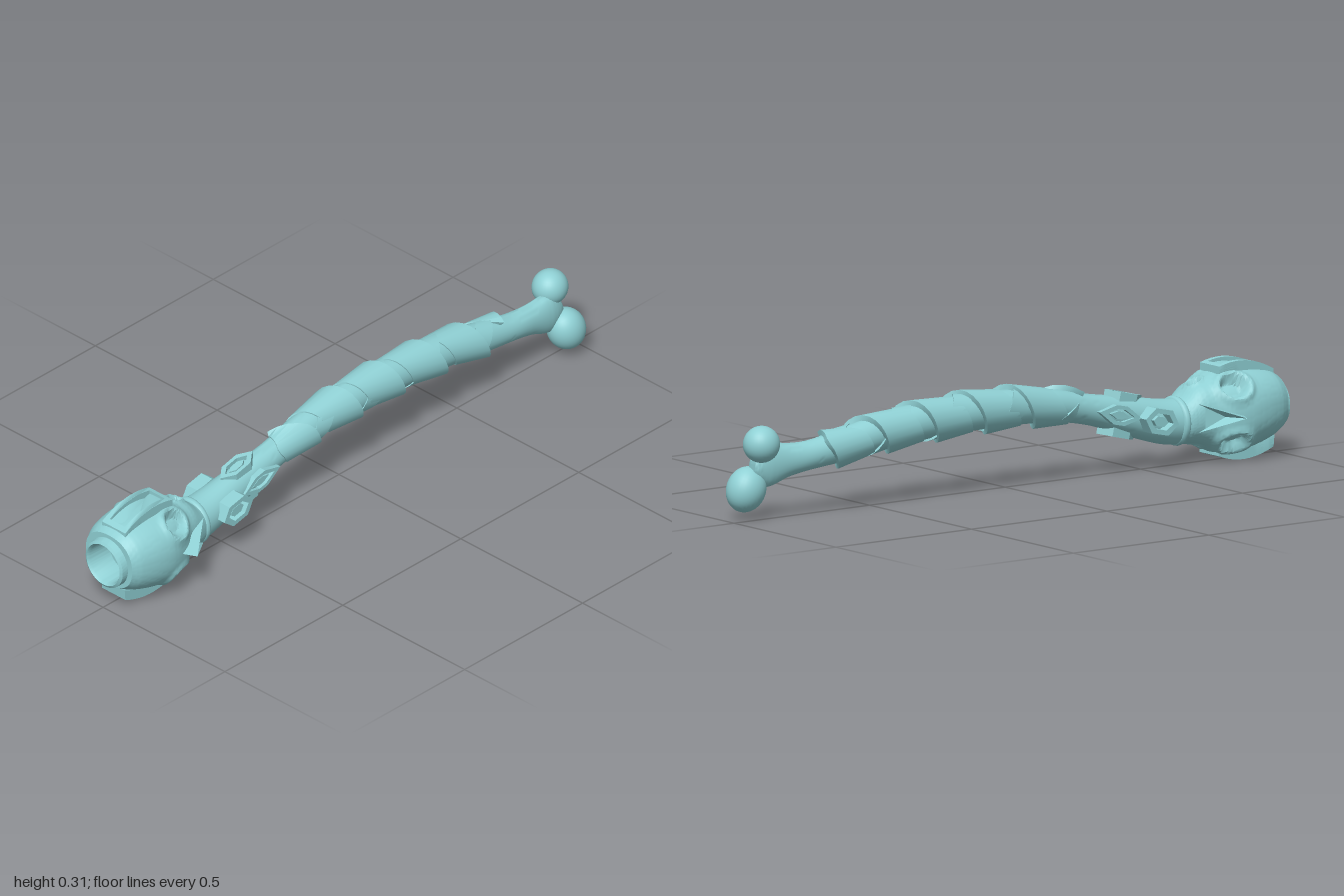
import * as THREE from 'three';
import { toCreasedNormals } from 'three/addons/utils/BufferGeometryUtils.js';

const mat = new THREE.MeshStandardMaterial({ color: 0x8fd0d4 });
const matDouble = new THREE.MeshStandardMaterial({ color: 0x8fd0d4, side: THREE.DoubleSide });

function add(parent, name, geometry, material = mat) {
  const m = new THREE.Mesh(geometry, material);
  m.name = name;
  parent.add(m);
  return m;
}

// Skin a list of closed rings of points.
function skin(rings, crease = 0.6) {
  const n = rings[0].length, index = [];
  for (let r = 0; r < rings.length - 1; r++) {
    for (let i = 0; i < n; i++) {
      const a = r * n + i, b = r * n + (i + 1) % n;
      index.push(a, b, a + n, b, b + n, a + n);
    }
  }
  const g = new THREE.BufferGeometry().setFromPoints(rings.flat());
  g.setIndex(index);
  return toCreasedNormals(g, crease);
}

// Smoothly interpolated stations [x, y, z, ry, rz].
function sample(stations, steps) {
  const c = new THREE.CatmullRomCurve3(stations.map(s => new THREE.Vector3(s[0], s[1], s[2])), false, 'catmullrom');
  const r = new THREE.CatmullRomCurve3(stations.map(s => new THREE.Vector3(s[3], s[4], 0)), false, 'catmullrom');
  return Array.from({ length: steps + 1 }, (_, i) => {
    const p = c.getPoint(i / steps), q = r.getPoint(i / steps);
    return [p.x, p.y, p.z, Math.max(q.x, 0.0005), Math.max(q.y, 0.0005)];
  });
}

// Rings across x; power rounds off (2) or squares (>2) the section.
function ring([x, y, z, ry, rz], sides, power = 2, shape = () => 1) {
  return Array.from({ length: sides }, (_, i) => {
    const a = i / sides * Math.PI * 2, c = Math.cos(a), s = Math.sin(a);
    const k = Math.pow(Math.abs(c) ** power + Math.abs(s) ** power, -1 / power) * shape(x, a);
    return new THREE.Vector3(x, y + c * k * ry, z + s * k * rz);
  });
}

const SHAFT = [
  [-0.68, 0.14, 0, 0.07, 0.07], [-0.58, 0.145, 0, 0.068, 0.062], [-0.45, 0.175, 0, 0.06, 0.05],
  [-0.3, 0.212, 0, 0.047, 0.042], [-0.15, 0.24, -0.005, 0.05, 0.046], [0.05, 0.252, -0.01, 0.055, 0.05],
  [0.25, 0.248, -0.012, 0.055, 0.05], [0.45, 0.232, -0.012, 0.053, 0.05], [0.6, 0.207, -0.01, 0.05, 0.046],
  [0.72, 0.188, -0.005, 0.044, 0.04], [0.8, 0.18, 0, 0.05, 0.034], [0.88, 0.172, 0.005, 0.066, 0.032],
  [0.925, 0.17, 0.005, 0.03, 0.02], [0.93, 0.17, 0.005, 0.001, 0.001],
];
const shaftLine = sample(SHAFT, 120);

function shaftAt(x) {
  let i = 1;
  while (i < shaftLine.length - 1 && shaftLine[i][0] < x) i++;
  const a = shaftLine[i - 1], b = shaftLine[i], t = (x - a[0]) / (b[0] - a[0]);
  return a.map((v, k) => v + (b[k] - v) * t);
}

// Strap wound round the shaft, thicker on its trailing edge.
function strap(x0, x1, turns, width, lift, thick, dir, phase) {
  const steps = Math.round(turns * 18), rings = [];
  for (let i = 0; i <= steps; i++) {
    const t = i / steps, a = dir * (t * turns * Math.PI * 2 + phase);
    const taper = Math.min(1, t * turns * 4 + 0.02, (1 - t) * turns * 4 + 0.02);
    const x = x0 + (x1 - x0) * t, h = width * taper / 2;
    const at = (dx, r) => {
      const s = shaftAt(x + dx);
      return new THREE.Vector3(x + dx, s[1] + Math.cos(a) * (s[3] + r), s[2] + Math.sin(a) * (s[4] + r));
    };
    const section = [at(h, -0.008), at(h, lift + thick), at(-h, lift), at(-h, -0.008)];
    rings.push(dir > 0 ? section : section.reverse());
  }
  return skin(rings, 0.5);
}

// Skull with a socket, eye pits and a small nose pit on each face.
function skullGeometry() {
  const pit = (x, a, x0, a0, w, h, depth) => {
    const da = Math.atan2(Math.sin(a - a0), Math.cos(a - a0));
    const d = Math.hypot((x - x0) / w, da / h);
    return -depth * (1 - THREE.MathUtils.smoothstep(d, 0.7, 1.05)) + 0.06 * Math.exp(-(((d - 1.25) / 0.25) ** 2));
  };
  const shape = (x, a) => {
    if (x < -0.92) return 1;
    let k = 1;
    for (let i = 0; i < 4; i++) k += pit(x, a, -0.78, Math.PI * (0.25 + i / 2), 0.042, 0.33, 0.24);
    for (let i = 0; i < 2; i++) k += pit(x, a, -0.695, Math.PI * i, 0.022, 0.2, 0.12);
    return k;
  };
  const socket = [[-0.91, 0.16, 0, 0.001, 0.001], [-0.91, 0.16, 0, 0.06, 0.06], [-0.99, 0.16, 0, 0.062, 0.062],
    [-1, 0.16, 0, 0.068, 0.068], [-0.995, 0.16, 0, 0.076, 0.076], [-0.975, 0.162, 0, 0.078, 0.078]];
  const dome = sample([
    [-0.975, 0.166, 0, 0.086, 0.095], [-0.94, 0.166, 0, 0.105, 0.112], [-0.88, 0.162, 0, 0.119, 0.126],
    [-0.82, 0.158, 0, 0.125, 0.129], [-0.76, 0.156, 0, 0.121, 0.116], [-0.72, 0.158, 0, 0.102, 0.094],
    [-0.68, 0.158, 0, 0.088, 0.083], [-0.64, 0.145, 0, 0.068, 0.073], [-0.61, 0.142, 0, 0.058, 0.06],
  ], 64);
  return skin([...socket.map(s => ring(s, 96)), ...dome.map(s => ring(s, 96, 2.3, shape))], 0.7);
}

// Closed outline from points, optionally with a scaled copy cut out.
function plate(points, hole, depth) {
  const v = points.map(p => new THREE.Vector2(p[0], p[1]));
  const s = new THREE.Shape(v);
  if (hole) s.holes.push(new THREE.Path(v.map(p => new THREE.Vector2(p.x * hole[0], p.y * hole[1]))));
  return new THREE.ExtrudeGeometry(s, { depth, bevelEnabled: false, steps: 1 });
}

// Raised lozenge: outer frame with a lower island, facing +z.
function lozenge(name, length, height, flat, depth) {
  const l = length / 2, h = height / 2, f = l * flat;
  const pts = [[-l, 0], [-f, -h], [f, -h], [l, 0], [f, h], [-f, h]];
  const g = new THREE.Group();
  g.name = name;
  add(g, 'lozengeFrame', plate(pts, [0.68, 0.62], depth));
  add(g, 'lozengeIsland', plate(pts.map(p => [p[0] * 0.45, p[1] * 0.38]), null, depth * 0.85));
  return g;
}

// Crest pad: rimmed strip bent to follow the skull.
function crestGeometry(inner, height) {
  const n = 10, l = 0.1, w = 0.048, edge = [];
  for (let i = 0; i <= n; i++) edge.push([-l + 2 * l * i / n, -w]);
  for (let i = 0; i <= n; i++) edge.push([l - 2 * l * i / n, w]);
  const g = plate(edge, inner ? null : [0.84, 0.64], height);
  g.rotateX(-Math.PI / 2);
  const p = g.attributes.position;
  for (let i = 0; i < p.count; i++) {
    const x = p.getX(i);
    p.setY(i, p.getY(i) - 2.2 * (x - 0.03) ** 2);
  }
  return toCreasedNormals(g, 0.5);
}

// Hollow pointed ear, opening toward the shaft.
function earGeometry(s) {
  const tip = [-0.77, 0.157, 0.165], root = [-0.8, 0.157, 0.105], up = [-0.655, 0.2, 0.078],
    low = [-0.655, 0.114, 0.078], cup = [-0.735, 0.157, 0.105];
  const mid = (a, b, t) => a.map((v, i) => v + (b[i] - v) * t);
  const rimTip = mid(tip, cup, 0.25), rimUp = mid(up, cup, 0.25), rimLow = mid(low, cup, 0.25);
  const faces = [tip, up, root, tip, root, low, tip, rimTip, up, up, rimTip, rimUp,
    tip, low, rimTip, low, rimLow, rimTip, rimTip, cup, rimUp, rimTip, rimLow, cup, rimUp, cup, rimLow];
  const g = new THREE.BufferGeometry().setFromPoints(faces.map(f => new THREE.Vector3(f[0], f[1], f[2] * s)));
  g.computeVertexNormals();
  return g;
}

export function createModel() {
  const model = new THREE.Group();
  model.name = 'boneClub';

  add(model, 'boneShaft', skin(shaftLine.map(s => ring(s, 28)), 1));

  // Knuckles at the bone end
  const upper = add(model, 'upperKnuckle', new THREE.SphereGeometry(0.055, 32, 20));
  upper.position.set(0.91, 0.24, -0.015);
  upper.scale.set(1.02, 1, 0.97);
  const lower = add(model, 'lowerKnuckle', new THREE.SphereGeometry(0.059, 32, 20));
  lower.position.set(0.935, 0.102, 0.027);
  lower.scale.set(1.02, 1.18, 0.97);
  lower.rotation.z = 0.45;

  // Straps wound round the grip
  add(model, 'underStrap', strap(-0.24, 0.66, 4, 0.07, 0.003, 0.004, -1, 1.2));
  add(model, 'gripStrap', strap(-0.27, 0.67, 5.2, 0.135, 0.004, 0.013, 1, -0.6));

  // Skull, crests and ears
  const head = new THREE.Group();
  head.name = 'skullHead';
  model.add(head);
  add(head, 'skull', skullGeometry());
  for (const s of [1, -1]) {
    const crest = new THREE.Group();
    crest.name = s > 0 ? 'topCrest' : 'bottomCrest';
    add(crest, 'crestRim', crestGeometry(false, 0.035));
    add(crest, 'crestPad', crestGeometry(true, 0.026));
    crest.position.set(-0.855, s > 0 ? 0.273 : 0.044, 0);
    if (s < 0) crest.rotation.set(Math.PI, 0, -0.09);
    head.add(crest);
    add(head, s > 0 ? 'leftEar' : 'rightEar', earGeometry(s), matDouble);
  }

  // Collar below the skull
  const collar = add(head, 'collar', new THREE.TorusGeometry(0.062, 0.013, 10, 32));
  collar.rotation.y = Math.PI / 2;
  collar.position.set(-0.625, 0.143, 0);

  // Raised ornaments on the neck of the shaft
  for (const s of [1, -1]) {
    const side = new THREE.Group();
    side.name = s > 0 ? 'frontOrnaments' : 'backOrnaments';
    const big = lozenge('sideLozenge', 0.125, 0.075, 0.5, 0.045);
    big.position.set(-0.515, 0.163, 0.043);
    const small = lozenge('longLozenge', 0.16, 0.058, 0.25, 0.03);
    small.position.set(-0.385, 0.192, 0.027);
    for (const o of [big, small]) o.rotation.z = 0.22;
    side.add(big, small);
    side.scale.z = s;
    model.add(side);

    const cap = lozenge(s > 0 ? 'topLozenge' : 'bottomLozenge', 0.14, 0.06, 0.45, 0.03);
    cap.rotation.x = -s * Math.PI / 2;
    const tilt = new THREE.Group();
    tilt.name = 'ornamentMount';
    cap.position.y = s * 0.037;
    tilt.add(cap);
    tilt.position.set(-0.42, 0.184, 0);
    tilt.rotation.z = 0.24;
    model.add(tilt);
  }
  return model;
}
